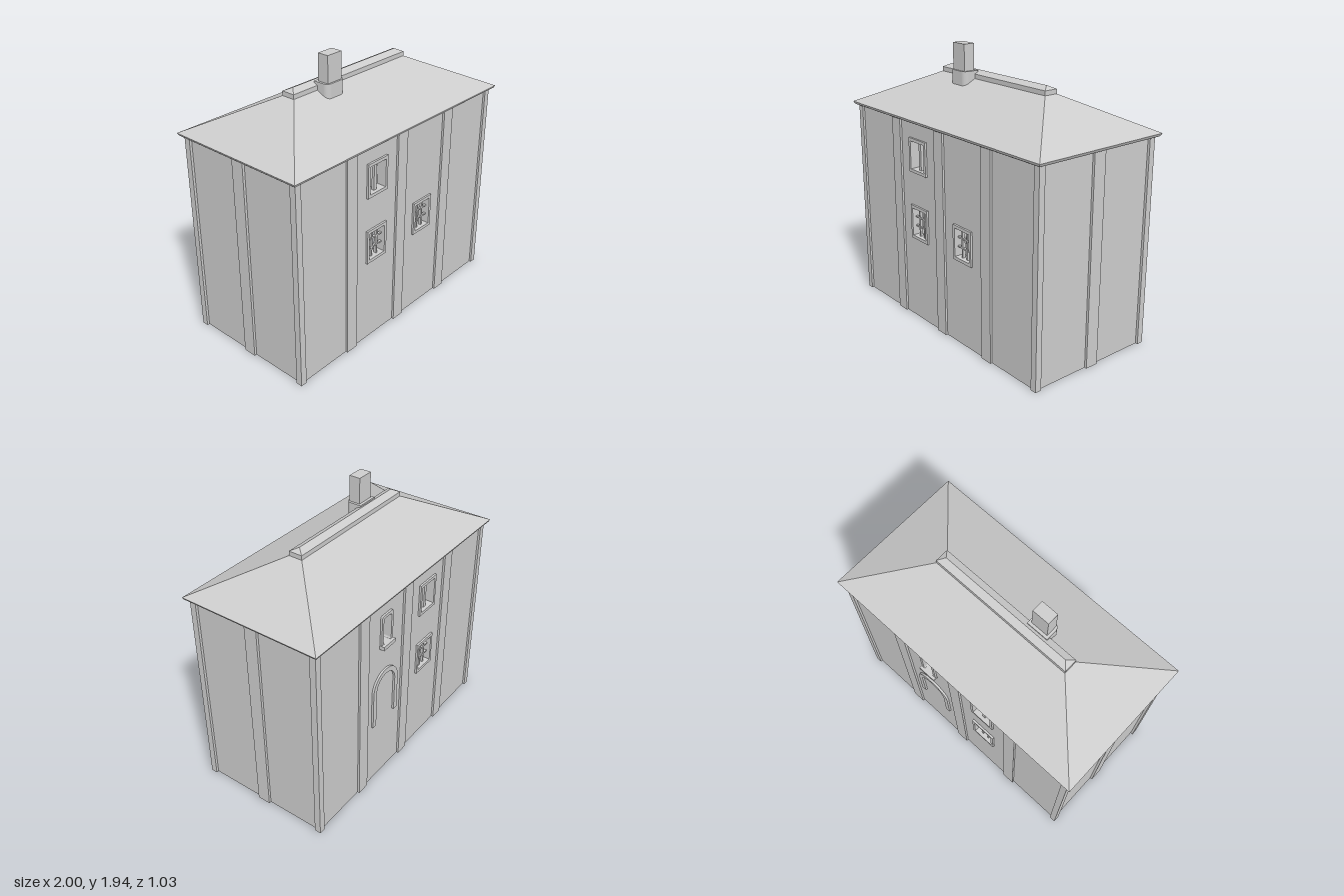
import * as THREE from 'three';

const stone = new THREE.MeshStandardMaterial({ color: 0xcccccc });
stone.name = 'pale grey';

function add(parent, name, geometry, x = 0, y = 0, z = 0) {
  const mesh = new THREE.Mesh(geometry, stone);
  mesh.name = name;
  mesh.position.set(x, y, z);
  parent.add(mesh);
  return mesh;
}

// Box given by its limits
function box(parent, name, x0, x1, y0, y1, z0, z1) {
  return add(parent, name, new THREE.BoxGeometry(x1 - x0, y1 - y0, z1 - z0),
    (x0 + x1) / 2, (y0 + y1) / 2, (z0 + z1) / 2);
}

// Rectangle outline with optional rounded corners
function rect(path, x0, x1, y0, y1, r = 0) {
  if (!r) {
    path.moveTo(x0, y0).lineTo(x1, y0).lineTo(x1, y1).lineTo(x0, y1).closePath();
    return path;
  }
  path.absarc(x1 - r, y0 + r, r, -Math.PI / 2, 0);
  path.absarc(x1 - r, y1 - r, r, 0, Math.PI / 2);
  path.absarc(x0 + r, y1 - r, r, Math.PI / 2, Math.PI);
  path.absarc(x0 + r, y0 + r, r, Math.PI, Math.PI * 1.5);
  path.closePath();
  return path;
}

function extrude(shape, depth) {
  return new THREE.ExtrudeGeometry(shape, { depth, bevelEnabled: false, curveSegments: 10 });
}

// Closed solid from stacked rectangles [y, half width, half depth]
function stack(rings) {
  const pos = [];
  const corner = ([y, hx, hz], i) => [[hx, y, hz], [hx, y, -hz], [-hx, y, -hz], [-hx, y, hz]][i % 4];
  const quad = (a, b, c, d) => pos.push(...a, ...b, ...c, ...a, ...c, ...d);
  for (let k = 0; k < rings.length - 1; k++) {
    for (let i = 0; i < 4; i++) {
      quad(corner(rings[k], i), corner(rings[k], i + 1), corner(rings[k + 1], i + 1), corner(rings[k + 1], i));
    }
  }
  const lo = rings[0], hi = rings[rings.length - 1];
  quad(corner(lo, 3), corner(lo, 2), corner(lo, 1), corner(lo, 0));
  quad(corner(hi, 0), corner(hi, 1), corner(hi, 2), corner(hi, 3));
  const geometry = new THREE.BufferGeometry();
  geometry.setAttribute('position', new THREE.Float32BufferAttribute(pos, 3));
  geometry.computeVertexNormals();
  return geometry;
}

const WALL_X = 0.95, WALL_Z = 0.47, THICK = 0.02, TOP = 1.45;

// Window with outer frame, inner surround and glazing bars
function addWindow(parent, { x, y, w, h, cols, rows, corner = 0 }) {
  const group = new THREE.Group();
  group.name = 'window';
  group.position.set(x, y, 0);
  parent.add(group);
  const a = w / 2, b = h / 2;
  const frame = rect(new THREE.Shape(), -a - 0.02, a + 0.02, -b - 0.022, b + 0.022, corner);
  frame.holes.push(rect(new THREE.Path(), -a, a, -b, b, corner));
  add(group, 'windowFrame', extrude(frame, 0.015), 0, 0, WALL_Z - 0.001);
  const surround = rect(new THREE.Shape(), -a - 0.06, a + 0.06, -b - 0.04, b + 0.04, 0.05);
  surround.holes.push(rect(new THREE.Path(), -a, a, -b, b, corner));
  add(group, 'innerSurround', extrude(surround, 0.04), 0, 0, WALL_Z - THICK - 0.039);
  const bar = rows > 1 ? 0.006 : 0.012;
  for (let i = 1; i < cols; i++) {
    const bx = -a + w * i / cols;
    box(group, 'verticalBar', bx - bar, bx + bar, -b, b, WALL_Z - 0.03, WALL_Z - 0.01);
  }
  for (let j = 1; j < rows; j++) {
    const by = -b + h * j / rows;
    box(group, 'horizontalBar', -a, a, by - 0.005, by + 0.005, WALL_Z - 0.028, WALL_Z - 0.012);
  }
}

// Long wall with openings and pilasters
function longWall(name, windows) {
  const wall = new THREE.Group();
  wall.name = name;
  const panel = rect(new THREE.Shape(), -WALL_X, WALL_X, 0, TOP);
  for (const o of windows) {
    panel.holes.push(rect(new THREE.Path(), o.x - o.w / 2, o.x + o.w / 2, o.y - o.h / 2, o.y + o.h / 2, o.corner));
    addWindow(wall, o);
  }
  add(wall, 'wallPanel', extrude(panel, THICK), 0, 0, WALL_Z - THICK);
  for (const x of [-0.485, 0, 0.485]) {
    box(wall, 'pilaster', x - 0.047, x + 0.047, 0, TOP, 0.435, 0.485);
  }
  return wall;
}

export function createModel() {
  const house = new THREE.Group();
  house.name = 'house';

  // Front and back walls
  const pair = { y: 1.212, w: 0.15, h: 0.196, cols: 2, rows: 1 };
  const grid = { y: 0.73, w: 0.15, h: 0.2, cols: 3, rows: 3 };
  const front = longWall('frontWall', [
    { ...pair, x: -0.243 }, { ...grid, x: -0.243 }, { ...grid, x: 0.24 },
  ]);
  const back = longWall('backWall', [
    { ...pair, x: 0.243 }, { ...grid, x: 0.243 },
    { x: -0.24, y: 1.215, w: 0.085, h: 0.2, cols: 1, rows: 1, corner: 0.018 },
  ]);
  back.rotation.y = Math.PI;
  house.add(front, back);

  // Sill of the narrow back window
  box(back, 'windowSill', -0.305, -0.175, 1.09, 1.118, WALL_Z - 0.03, 0.505);

  // Arched moulding on the back wall
  const arch = new THREE.Shape();
  arch.moveTo(-0.14, 0.485).lineTo(-0.105, 0.485).lineTo(-0.105, 0.76);
  arch.absarc(0, 0.76, 0.105, Math.PI, 0, true);
  arch.lineTo(0.105, 0.485).lineTo(0.14, 0.485).lineTo(0.14, 0.76);
  arch.absarc(0, 0.76, 0.14, 0, Math.PI, false);
  arch.closePath();
  add(back, 'archMoulding', extrude(arch, 0.016), -0.24, 0, WALL_Z - 0.001);

  // Side walls with central pilasters, and corner piers
  for (const s of [-1, 1]) {
    const side = new THREE.Group();
    side.name = s > 0 ? 'leftWall' : 'rightWall';
    side.rotation.y = s * Math.PI / 2;
    house.add(side);
    box(side, 'wallPanel', -WALL_Z, WALL_Z, 0, TOP, WALL_X - THICK, WALL_X);
    box(side, 'pilaster', -0.047, 0.047, 0, TOP, 0.917, 0.967);
    for (const t of [-1, 1]) {
      add(house, 'cornerPier', new THREE.BoxGeometry(0.045, TOP, 0.045), s * 0.945, TOP / 2, t * 0.4625);
    }
  }

  // Hipped roof with eaves, and ridge cap
  add(house, 'hippedRoof', stack([[1.445, 0.985, 0.5], [1.452, 0.992, 0.509], [1.467, 1, 0.515], [1.702, 0.53, 0.047]]));
  add(house, 'ridgeCap', stack([[1.698, 0.532, 0.049], [1.732, 0.532, 0.049], [1.755, 0.49, 0]]));

  // Chimney: base rounded towards the front, square shaft
  const base = new THREE.Shape();
  base.moveTo(-0.08, -0.02).lineTo(0.08, -0.02).lineTo(0.08, -0.1);
  base.absarc(0.045, -0.1, 0.035, 0, -Math.PI / 2, true);
  base.absarc(-0.045, -0.1, 0.035, -Math.PI / 2, -Math.PI, true);
  base.closePath();
  add(house, 'chimneyBase', extrude(base, 0.115), -0.245, 1.64).rotation.x = -Math.PI / 2;
  box(house, 'chimneyShaft', -0.307, -0.183, 1.7, 1.937, 0.04, 0.122);

  return house;
}
